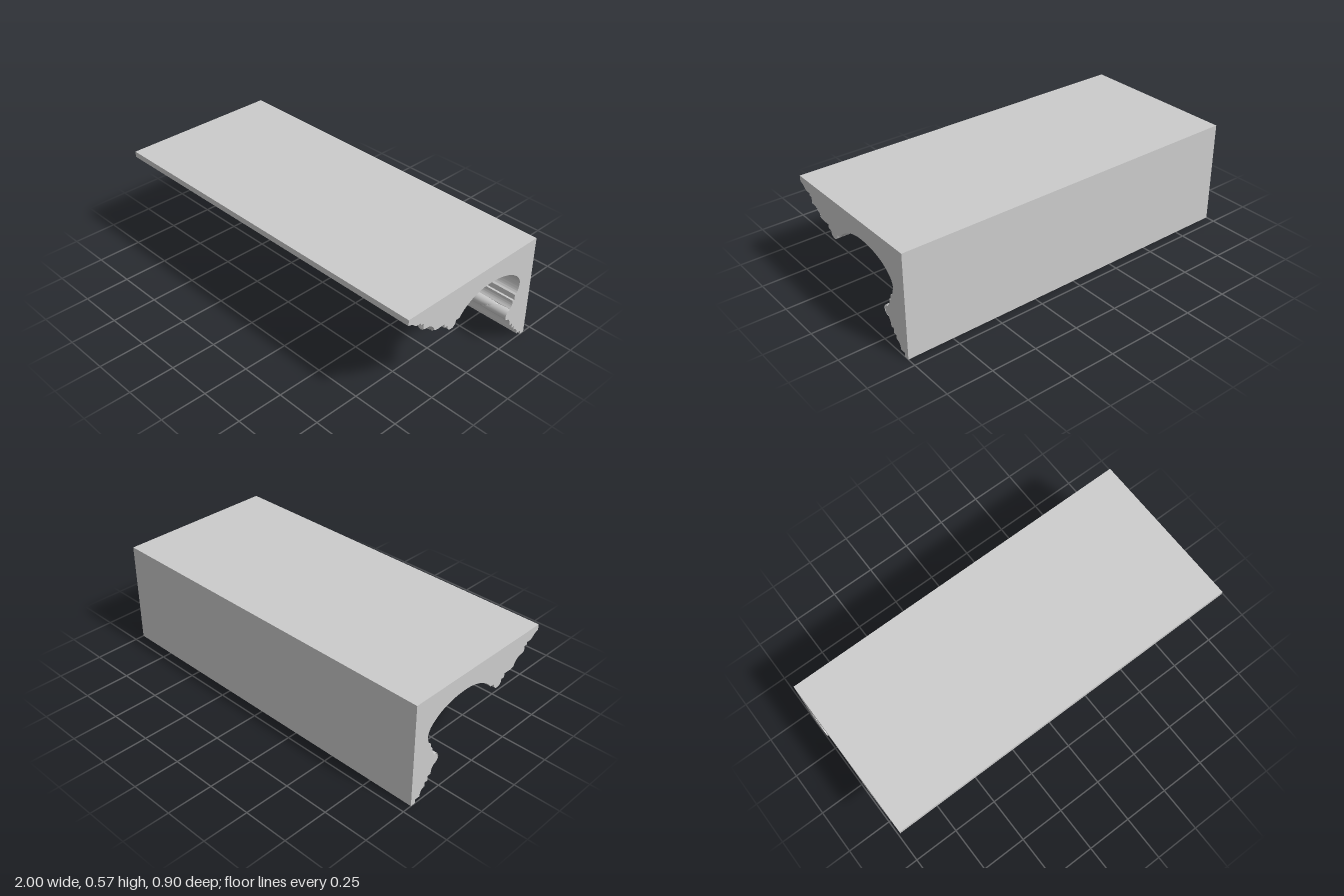
import * as THREE from 'three';
import { toCreasedNormals } from 'three/addons/utils/BufferGeometryUtils.js';
import { ParametricGeometry } from 'three/addons/geometries/ParametricGeometry.js';

const pts = (list) => list.map(([z, y]) => new THREE.Vector2(z, y));

// Recessed bed behind the leaf ornament, bottom to top, as (z, y)
const bed = pts([[0.235, 0.411], [0.268, 0.417], [0.277, 0.435], [0.302, 0.457], [0.342, 0.466], [0.347, 0.484]]);
const bedCurve = new THREE.SplineCurve(bed);
const rope = { z: -0.302, y: 0.19, inner: 0.027, outer: 0.032 };

// Cross-section of the cornice in (z, y)
function profile() {
  const s = new THREE.Shape();
  const lines = (list) => list.forEach(([z, y]) => s.lineTo(z, y));
  s.moveTo(-0.448, 0.572);
  // Back, foot and lower steps
  lines([[-0.448, 0], [-0.42, 0], [-0.42, 0.022], [-0.388, 0.022], [-0.388, 0.035]]);
  s.quadraticCurveTo(-0.382, 0.06, -0.358, 0.063);
  lines([[-0.358, 0.085], [-0.338, 0.085], [-0.338, 0.113], [-0.318, 0.113], [-0.318, 0.122]]);
  s.quadraticCurveTo(-0.316, 0.142, -0.302, 0.157);
  // Core of the rope moulding
  s.lineTo(rope.z, rope.y - rope.inner);
  s.absarc(rope.z, rope.y, rope.inner, -Math.PI / 2, Math.PI / 2, false);
  s.lineTo(-0.302, 0.222);
  s.quadraticCurveTo(-0.317, 0.236, -0.318, 0.255);
  lines([[-0.318, 0.265], [-0.33, 0.265], [-0.33, 0.295]]);
  // Large cove
  s.splineThru(pts([[-0.345, 0.306], [-0.355, 0.335], [-0.355, 0.367], [-0.33, 0.405], [-0.27, 0.445],
    [-0.19, 0.47], [-0.115, 0.477], [-0.06, 0.474], [0, 0.458], [0.062, 0.423], [0.095, 0.39]]));
  // Hanging round bead
  lines([[0.118, 0.39], [0.122, 0.378]]);
  s.bezierCurveTo(0.13, 0.35, 0.17, 0.35, 0.178, 0.378);
  lines([[0.178, 0.39], [0.2, 0.39], [0.2, 0.412], [0.235, 0.411]]);
  // Ornament bed and upper lip
  s.splineThru(bed.slice(1));
  lines([[0.347, 0.497], [0.365, 0.497], [0.365, 0.51], [0.385, 0.51]]);
  s.bezierCurveTo(0.412, 0.512, 0.412, 0.537, 0.448, 0.54);
  s.lineTo(0.448, 0.572);
  s.closePath();
  return s;
}

const dome = (t) => Math.sqrt(Math.max(0, 1 - t * t));

// Relief height of one leaf motif: x is 0 at its centre and 1 at its edge
function leafHeight(x, v) {
  const r = Math.hypot(x / 0.9, (v - 0.05) / 0.85);
  const angle = Math.atan2(v - 0.05, x);
  const boss = 0.9 * dome(r / 0.26);
  const arch = dome((r - 0.68) / 0.32) * (0.7 + 0.3 * Math.abs(Math.cos(angle * 6)));
  const dart = v > 0.3 ? 0.7 * dome((1 - x - 0.15 * v) / (0.14 * v)) : 0;
  return 0.001 + 0.02 * Math.sin(Math.PI * (0.12 + 0.8 * v)) * Math.max(boss, arch, dart);
}

export function createModel() {
  const model = new THREE.Group();
  const material = new THREE.MeshStandardMaterial({ color: 0xcccccc, side: THREE.DoubleSide });
  const add = (name, geometry) => {
    const mesh = new THREE.Mesh(geometry, material);
    mesh.name = name;
    model.add(mesh);
  };

  // Cornice body, run along x
  const body = new THREE.ExtrudeGeometry(profile(), { depth: 2, bevelEnabled: false, curveSegments: 10 });
  body.rotateY(-Math.PI / 2).translate(1, 0, 0);
  add('corniceBody', toCreasedNormals(body, 0.5));

  // Eight leaf arches with darts between them
  add('leafOrnament', new ParametricGeometry((u, v, target) => {
    const x = u * 2 - 1;
    const cell = Math.abs((((u * 8) % 1) + 1) % 1 * 2 - 1);
    const p = bedCurve.getPoint(THREE.MathUtils.clamp(v, 0, 1));
    const h = leafHeight(cell, v);
    target.set(x, p.y - 0.8 * h, p.x + 0.6 * h);
  }, 8 * 48, 32));

  // Twisted rope with slanting grooves
  add('ropeMoulding', new ParametricGeometry((u, v, target) => {
    const x = u * 2 - 1;
    const a = (v - 0.5) * Math.PI;
    const phase = x / 0.2 - 0.28 * Math.sin(a) + 0.65;
    const r = rope.inner + (rope.outer - rope.inner) * Math.pow(Math.abs(Math.sin(Math.PI * phase)), 0.4);
    target.set(x, rope.y + r * Math.sin(a), rope.z + r * Math.cos(a));
  }, 320, 20));

  return model;
}
